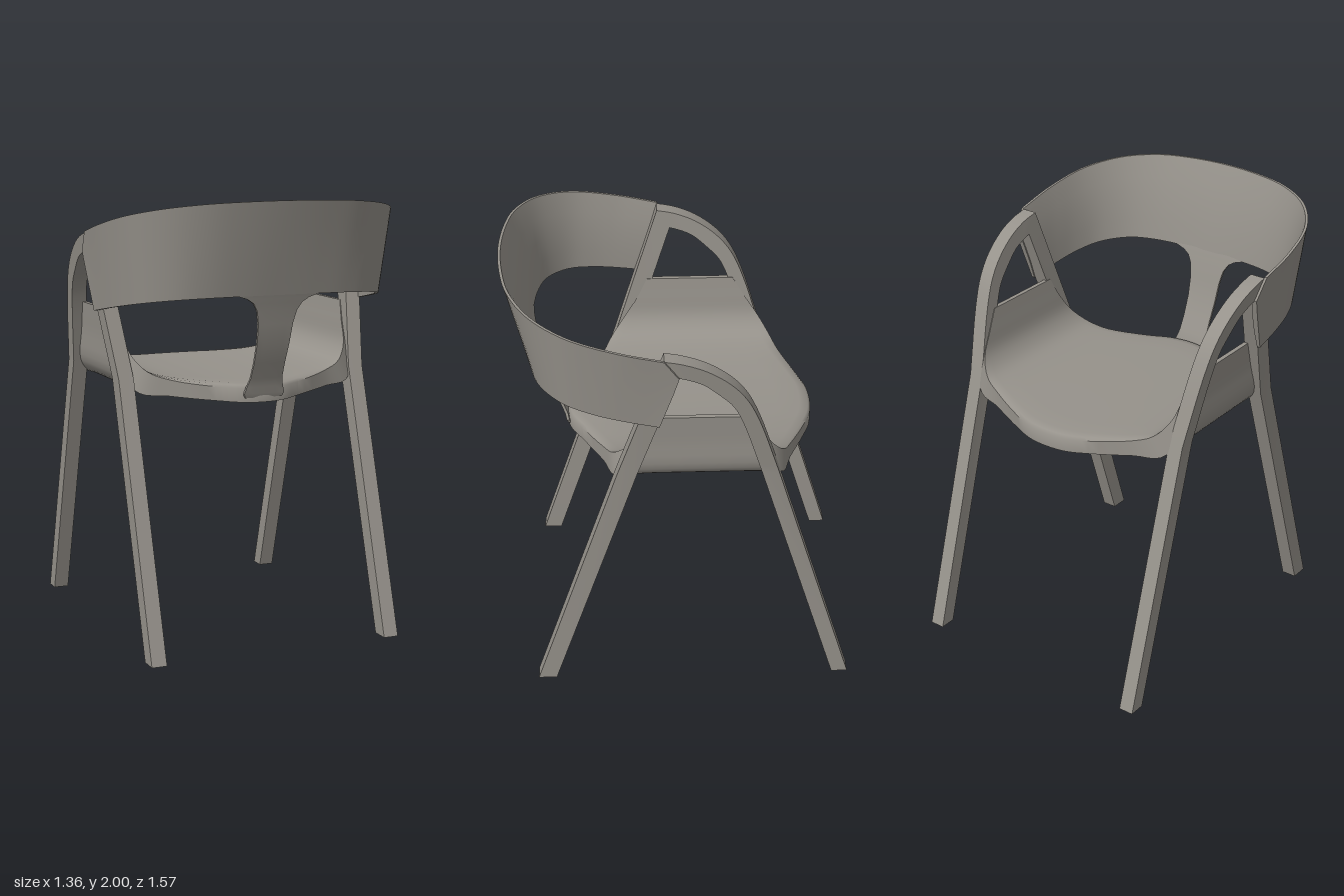
import * as THREE from 'three';
import { toCreasedNormals } from 'three/addons/utils/BufferGeometryUtils.js';

const V = (x, y, z) => new THREE.Vector3(x, y, z);
const spline = (pts) => new THREE.CatmullRomCurve3(pts, false, 'centripetal');
// the same points from right (-x) to left (+x), sharing the middle one
const mirrored = (pts) => [...pts.slice(1).reverse().map((p) => V(-p.x, p.y, p.z)), ...pts];

// Solid skin through closed loops of equal, even length, capped at both ends
function loft(loops, crease = 0.6) {
  const n = loops[0].length;
  const tris = [];
  const quad = (a, b, c, d) => tris.push([a, b, c], [a, c, d]);
  for (let i = 0; i < loops.length - 1; i++)
    for (let j = 0; j < n; j++) {
      const k = (j + 1) % n;
      quad(loops[i][j], loops[i][k], loops[i + 1][k], loops[i + 1][j]);
    }
  const A = loops[0], B = loops[loops.length - 1];
  for (let j = 0; j < n / 2 - 1; j++) {
    quad(A[n - 1 - j], A[n - 2 - j], A[j + 1], A[j]);
    quad(B[j], B[j + 1], B[n - 2 - j], B[n - 1 - j]);
  }
  // turn all faces outward
  let volume = 0;
  for (const [a, b, c] of tris) volume += a.dot(b.clone().cross(c));
  const pos = [];
  for (const [a, b, c] of tris)
    for (const p of volume > 0 ? [a, b, c] : [a, c, b]) pos.push(p.x, p.y, p.z);
  const g = new THREE.BufferGeometry();
  g.setAttribute('position', new THREE.Float32BufferAttribute(pos, 3));
  return toCreasedNormals(g, crease);
}

// Side frame: one leg rises to the armrest, which arches over into the other leg
function sideFrame(side) {
  const arch = [
    [0.08, 1.838, 0.02, 1.75], [0, 1.822, -0.03, 1.735], [-0.1, 1.782, -0.085, 1.71],
    [-0.2, 1.71, -0.155, 1.65], [-0.27, 1.625, -0.215, 1.585], [-0.328, 1.5, -0.262, 1.48],
    [-0.408, 1.25, -0.333, 1.25],
  ];
  const outer = spline(arch.map((a) => V(0, a[1], a[0])));
  const inner = spline(arch.map((a) => V(0, a[3], a[2])));
  const pairs = [[V(0, 0, 0.68), V(0, 0, 0.595)], [V(0, 1.2, 0.288), V(0, 1.2, 0.2)]];
  for (let i = 0; i <= 24; i++) pairs.push([outer.getPoint(i / 24), inner.getPoint(i / 24)]);
  pairs.push([V(0, 1.2, -0.423), V(0, 1.2, -0.348)], [V(0, 0, -0.785), V(0, 0, -0.71)]);
  const x = (y) => 0.565 + 0.07 * THREE.MathUtils.clamp((y - 1.2) / 0.62, 0, 1);
  return loft(pairs.map(([o, i]) =>
    [[o, 0.035], [o, -0.035], [i, -0.035], [i, 0.035]].map(([p, d]) => V(side * (x(p.y) + d), p.y, p.z))));
}

// Seat: shallow trough with sides turned up between the legs
function seat() {
  // inner x, y; outer x, y; -z end, +z end
  const rows = [
    [0, 1.183, 0, 1.143, -0.612, 0.512], [0.1, 1.184, 0.1, 1.143, -0.603, 0.495],
    [0.2, 1.188, 0.2, 1.144, -0.568, 0.44], [0.38, 1.206, 0.39, 1.145, -0.49, 0.345],
    [0.47, 1.235, 0.51, 1.146, -0.452, 0.302], [0.525, 1.3, 0.565, 1.205, -0.402, 0.242],
    [0.546, 1.4, 0.574, 1.36, -0.335, 0.175], [0.56, 1.49, 0.581, 1.49, -0.28, 0.13],
  ];
  const curve = (f) => spline(mirrored(rows.map(f)));
  const top = curve((r) => V(r[0], r[1], 0));
  const bottom = curve((r) => V(r[2], r[3], 0));
  const ends = curve((r) => V(r[0], r[4], r[5]));
  // depth from the rim, fall of the top face, fall of the underside
  const rim = [[0, 0.022, 0.044], [0.012, 0.008, 0.041], [0.05, 0.002, 0.03], [0.16, 0, 0]];
  const loops = [];
  const N = 56;
  for (let i = 0; i <= N; i++) {
    const t = top.getPoint(i / N), b = bottom.getPoint(i / N), e = ends.getPoint(i / N);
    const droop = Math.max(0, 1 - (t.x / 0.52) ** 2);
    const edge = (p, k, zEnd, dir) => rim.map((r) =>
      V(p.x, p.y - r[k] * droop, zEnd + dir * r[0]));
    loops.push([
      ...edge(t, 1, e.y, 1), ...edge(t, 1, e.z, -1).reverse(),
      ...edge(b, 2, e.z, -1), ...edge(b, 2, e.y, 1).reverse(),
    ]);
  }
  return loft(loops, 0.75);
}

// Backrest: leaning curved band wrapped around the tops of the legs
function backrest() {
  const rail = (pts, y0, slope) => spline(mirrored(pts.map(([x, z]) => V(x, y0 + slope * z, z))));
  const top = rail([[0, 0.785], [0.2, 0.77], [0.36, 0.733], [0.52, 0.64], [0.632, 0.485],
    [0.677, 0.28], [0.682, 0.08]], 1.825, 0.223);
  const bottom = rail([[0, 0.672], [0.16, 0.669], [0.32, 0.652], [0.45, 0.61], [0.56, 0.51],
    [0.613, 0.385], [0.637, 0.25], [0.648, 0.1]], 1.4725, 0.175);
  // height along the band, thickness, forward reach at its ends
  const levels = [[0, 0.015, 0], [0.25, 0.024, 0.024], [0.5, 0.026, 0.048], [0.74, 0.024, 0.068], [1, 0.012, 0]];
  const loops = [];
  const N = 72;
  for (let i = 0; i <= N; i++) {
    const u = i / N, a = bottom.getPointAt(u), b = top.getPointAt(u);
    const tan = top.getTangentAt(u);
    const inward = V(tan.z, 0, -tan.x).normalize();
    const nearEnd = Math.max(0, Math.abs(2 * u - 1) * 6 - 5);
    const out = levels.map(([v, , reach]) => {
      const p = a.clone().lerp(b, v);
      p.z -= reach * nearEnd;
      return p;
    });
    const inn = out.map((p, k) => p.clone().addScaledVector(inward, levels[k][1]));
    loops.push([...out, ...inn.reverse()]);
  }
  return loft(loops, 0.7);
}

// Stem: flared strip joining the backrest to the seat
function stem() {
  // y, outer z, half width
  const rows = [
    [1.6, 0.673, 0.22], [1.588, 0.669, 0.185], [1.575, 0.665, 0.145], [1.555, 0.659, 0.115],
    [1.52, 0.648, 0.094], [1.46, 0.633, 0.082], [1.37, 0.608, 0.077], [1.28, 0.57, 0.074],
    [1.21, 0.538, 0.076], [1.17, 0.522, 0.087], [1.14, 0.516, 0.096], [1.12, 0.508, 0.088],
  ];
  const cols = [-1, -0.6, -0.2, 0.2, 0.6, 1];
  return loft(rows.map(([y, z, w]) => {
    const line = (d) => cols.map((c) => V(c * w, y, z - d - 0.12 * (c * w) ** 2));
    return [...line(0), ...line(0.013).reverse()];
  }));
}

export function createModel() {
  const wood = new THREE.MeshStandardMaterial({ color: 0x96928b });
  wood.name = 'greyWood';
  const chair = new THREE.Group();
  chair.name = 'chair';
  const add = (name, geometry) => {
    const mesh = new THREE.Mesh(geometry, wood);
    mesh.name = name;
    chair.add(mesh);
  };
  add('leftSideFrame', sideFrame(1));
  add('rightSideFrame', sideFrame(-1));
  add('seat', seat());
  add('backrest', backrest());
  add('backrestStem', stem());
  return chair;
}
